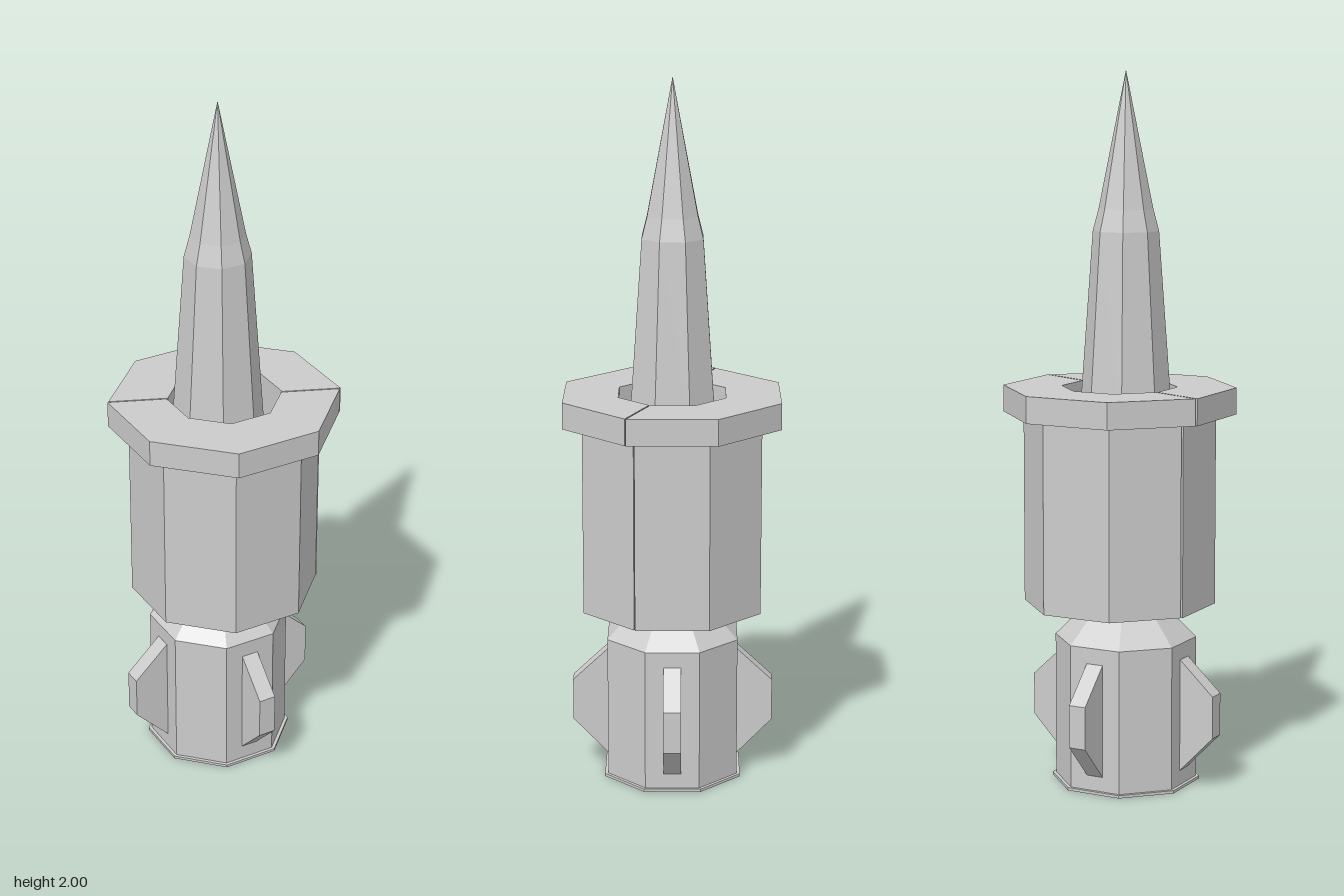
import * as THREE from 'three';

const SIDES = 8;
const CORE_X = -0.02, CORE_Z = 0.005;
const material = new THREE.MeshStandardMaterial({ color: 0xcccccc, flatShading: true });

function part(name, geometry) {
  const mesh = new THREE.Mesh(geometry, material);
  mesh.name = name;
  return mesh;
}

// Octagonal turned part from [radius, height] pairs, bottom to top
function turned(name, profile) {
  return part(name, new THREE.LatheGeometry(profile.map(([r, y]) => new THREE.Vector2(r, y)), SIDES));
}

// Back half of an octagonal tube standing on y0
function halfTube(name, outer, inner, y0, y1) {
  const points = [];
  for (let i = 0; i <= SIDES / 2; i++) {
    const a = (i / SIDES) * Math.PI * 2;
    points.push(new THREE.Vector2(outer * Math.cos(a), outer * Math.sin(a)));
  }
  for (let i = SIDES / 2; i >= 0; i--) {
    const a = (i / SIDES) * Math.PI * 2;
    points.push(new THREE.Vector2(inner * Math.cos(a), inner * Math.sin(a)));
  }
  const geometry = new THREE.ExtrudeGeometry(new THREE.Shape(points), { depth: y1 - y0, bevelEnabled: false });
  geometry.rotateX(-Math.PI / 2).translate(0, y0, 0);
  return part(name, geometry);
}

// Fin with a trapezoid outline, pointing along +x
function fin() {
  const width = 0.05;
  const outline = [[0.16, 0.05], [0.185, 0.05], [0.286, 0.155], [0.286, 0.275], [0.185, 0.37], [0.16, 0.37]];
  const shape = new THREE.Shape(outline.map(([x, y]) => new THREE.Vector2(x, y)));
  const geometry = new THREE.ExtrudeGeometry(shape, { depth: width, bevelEnabled: false });
  geometry.translate(0, 0, -width / 2);
  return part('fin', geometry);
}

export function createModel() {
  const model = new THREE.Group();
  model.name = 'spikedDevice';

  // Core: base, shouldered body, neck and spike, slightly off the sleeve's axis
  const core = new THREE.Group();
  core.name = 'core';
  core.position.set(CORE_X, 0, CORE_Z);
  core.add(
    turned('basePlate', [[0, 0], [0.21, 0], [0.21, 0.008], [0, 0.008]]),
    turned('body', [[0, 0.008], [0.2, 0.008], [0.2, 0.415], [0.128, 0.487], [0.128, 1.06], [0, 1.06]]),
    turned('spike', [[0.128, 1.06], [0.092, 1.56], [0.076, 1.62], [0, 2]])
  );

  // Four fins, each centred on a face of the body
  for (let i = 0; i < 4; i++) {
    const f = fin();
    f.rotation.y = -Math.PI * 3 / 8 + i * Math.PI / 2;
    core.add(f);
  }
  model.add(core);

  // Sleeve: two half shells with a narrow seam between them
  for (const [name, x, z, turn] of [['backShell', 0.001, -0.004, 0], ['frontShell', -0.002, 0, Math.PI]]) {
    const shell = new THREE.Group();
    shell.name = name;
    shell.add(
      halfTube('barrel', 0.268, 0.16, 0.51, 1.05),
      halfTube('collar', 0.325, 0.16, 1.05, 1.125)
    );
    shell.position.set(x, 0, z);
    shell.rotation.y = turn;
    model.add(shell);
  }
  return model;
}
